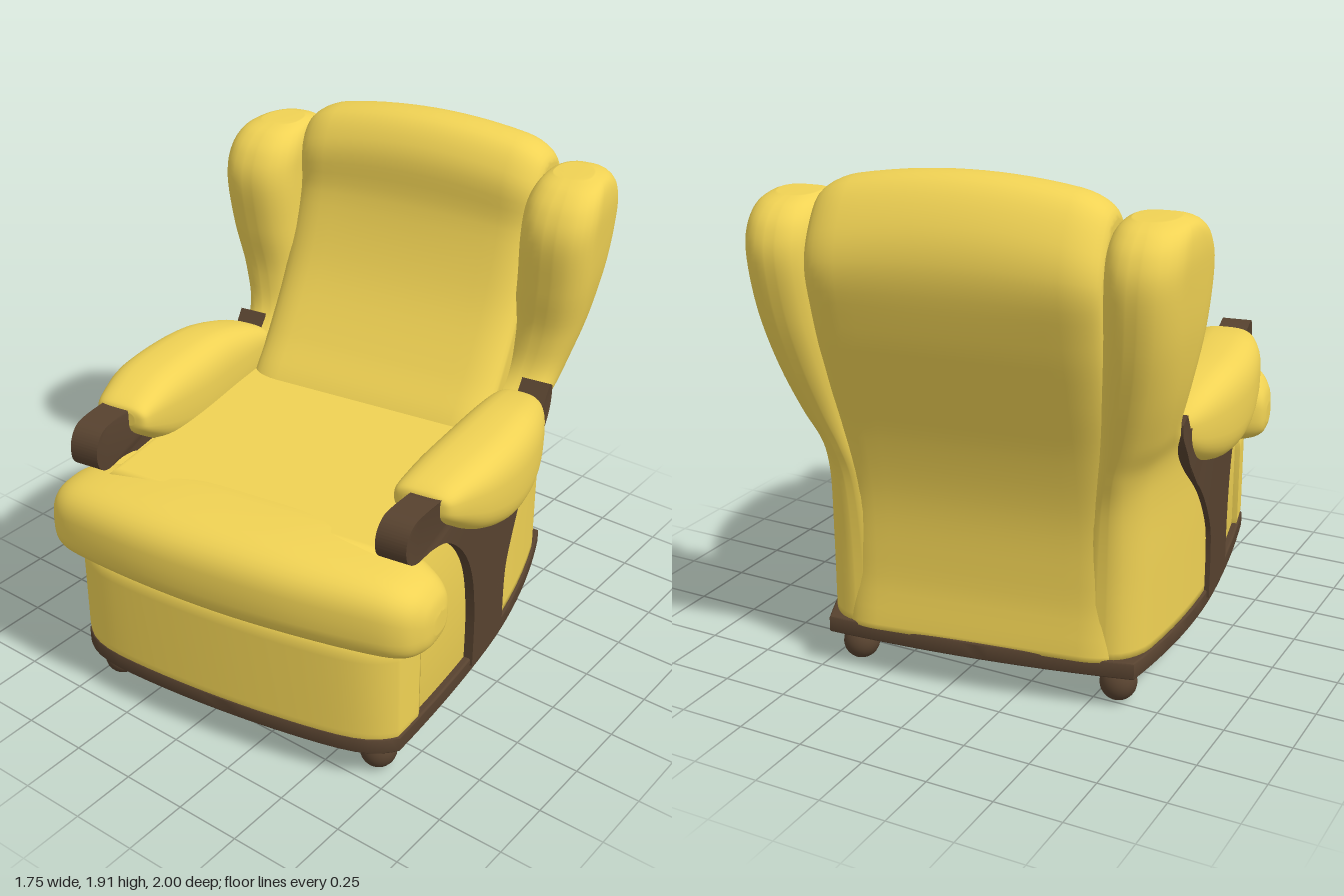
import * as THREE from 'three';
import { mergeVertices, toCreasedNormals } from 'three/addons/utils/BufferGeometryUtils.js';

const leather = new THREE.MeshStandardMaterial({ color: 0xf0d254 });
const wood = new THREE.MeshStandardMaterial({ color: 0x57422f });
const V = (p) => new THREE.Vector2(p[0], p[1]);
const { lerp, smoothstep } = THREE.MathUtils;

// half width of the chair's bowed plan at depth z
const halfWidth = (z) => 0.692 - (z < 0.15 ? 0.18 : 0.075) * (z - 0.15) ** 2;

// closed smooth shape through points
function splineShape(points, n) {
  const curve = new THREE.CatmullRomCurve3(points.map((p) => new THREE.Vector3(p[0], p[1], 0)), true);
  return new THREE.Shape(curve.getPoints(n).slice(0, -1).map((p) => new THREE.Vector2(p.x, p.y)));
}

// plan outline with bowed sides, front and back and rounded front corners
function planShape(inset, zBack, zFront, bowBack, bowFront) {
  const pts = [], n = 24, corner = 0.07, zSide = zFront - corner;
  for (let i = 0; i <= n; i++) {
    const z = lerp(zBack, zSide, i / n);
    pts.push(new THREE.Vector2(halfWidth(z) - inset, z));
  }
  for (let i = 1; i < n; i++) {
    const u = Math.cos((i / n) * Math.PI);
    pts.push(new THREE.Vector2(u * (halfWidth(zSide) - inset), zFront + bowFront * (1 - u * u) - corner * u ** 10));
  }
  for (let i = 0; i <= n; i++) {
    const z = lerp(zSide, zBack, i / n);
    pts.push(new THREE.Vector2(inset - halfWidth(z), z));
  }
  for (let i = 1; i < n; i++) {
    const u = (2 * i) / n - 1;
    pts.push(new THREE.Vector2(u * (halfWidth(zBack) - inset), zBack - bowBack * (1 - u * u)));
  }
  return new THREE.Shape(pts);
}

// extrusion with rounded rims whose total depth is `depth`, starting at 0
function puff(shape, depth, size, thick, steps = 1) {
  const geo = new THREE.ExtrudeGeometry(shape, {
    depth: depth - 2 * thick, steps, curveSegments: 16, bevelEnabled: size > 0,
    bevelSize: size, bevelThickness: thick, bevelOffset: -size, bevelSegments: 7,
  });
  return geo.translate(0, 0, thick);
}

// plan extrusion laid flat between two heights
function slab(shape, y0, y1, size, thick) {
  return puff(shape, y1 - y0, size, thick).rotateX(Math.PI / 2).translate(0, y1, 0);
}

function reshape(geo, rule) {
  const p = geo.attributes.position, v = new THREE.Vector3();
  for (let i = 0; i < p.count; i++) {
    rule(v.fromBufferAttribute(p, i));
    p.setXYZ(i, v.x, v.y, v.z);
  }
  return geo;
}

function smooth(geo) {
  geo.deleteAttribute('uv');
  geo.deleteAttribute('normal');
  const g = mergeVertices(geo, 1e-4);
  g.computeVertexNormals();
  return g;
}

function creased(geo) {
  geo.computeVertexNormals();
  return toCreasedNormals(geo, 0.6);
}

// mirrored copy across x = 0, with the corner order flipped
function mirror(geo) {
  const g = geo.index ? geo.toNonIndexed() : geo.clone();
  for (const key of Object.keys(g.attributes)) {
    const a = g.attributes[key], s = a.itemSize;
    for (let i = 0; i < a.count; i += 3) {
      for (let k = 0; k < s; k++) {
        const b = a.array[(i + 1) * s + k];
        a.array[(i + 1) * s + k] = a.array[(i + 2) * s + k];
        a.array[(i + 2) * s + k] = b;
      }
    }
    if (key !== 'uv') for (let i = 0; i < a.count; i++) a.setX(i, -a.getX(i));
  }
  return g;
}

// smooth closed skin over sections; key rows are interpolated along a spline
function loft(keys, rows, section) {
  const curves = keys[0].map((_, c) => new THREE.SplineCurve(keys.map((k, i) => new THREE.Vector2(i, k[c]))));
  const pos = [], idx = [];
  for (let i = 0; i <= rows; i++) {
    const ring = section(curves.map((c) => c.getPoint(i / rows).y)), cols = ring.length;
    ring.forEach((p, j) => {
      pos.push(...p);
      const a = i * cols + j, b = i * cols + ((j + 1) % cols);
      if (i < rows) idx.push(a, b, b + cols, a, b + cols, a + cols);
      if (j > 0 && j < cols - 1 && i === 0) idx.push(0, j + 1, j);
      if (j > 0 && j < cols - 1 && i === rows) idx.push(i * cols, a, a + 1);
    });
  }
  const g = new THREE.BufferGeometry();
  g.setAttribute('position', new THREE.Float32BufferAttribute(pos, 3));
  g.setIndex(idx);
  g.computeVertexNormals();
  return g;
}

// rounded upright section of a wing: height, back, front, inner x, flare
function wingSection([y, zb, zf, xi, flare]) {
  const rz = Math.min(0.13, (zf - zb) * 0.45), rt = 0.4, ring = [];
  const put = (z, t) => ring.push([lerp(xi, lerp(halfWidth(z) - 0.005, 0.77 + 0.1 * (z + 0.6), flare), t), y, z]);
  const corners = [[zf - rz, 1 - rt], [zb + rz, 1 - rt], [zb + rz, rt], [zf - rz, rt]];
  corners.forEach(([z, t], c) => {
    for (let i = 0; i <= 6; i++) {
      const a = (c + i / 6) * Math.PI / 2;
      put(z + rz * Math.cos(a), t + rt * Math.sin(a));
    }
    const [z2, t2] = corners[(c + 1) % 4], e = (c + 1) * Math.PI / 2;
    for (let i = 1; i < 6; i++) put(lerp(z, z2, i / 6) + rz * Math.cos(e), lerp(t, t2, i / 6) + rt * Math.sin(e));
  });
  return ring;
}

// soft superelliptic ring in two ranges
function softRing(a0, a1, b0, b1, place) {
  const pow = (c) => 0.5 + (Math.sign(c) * Math.abs(c) ** 0.7) / 2;
  return Array.from({ length: 40 }, (_, j) => {
    const t = (j / 40) * Math.PI * 2;
    return place(lerp(a0, a1, pow(Math.cos(t))), lerp(b0, b1, pow(Math.sin(t))));
  });
}

export function createModel() {
  const chair = new THREE.Group();
  chair.name = 'armchair';
  const add = (name, geo, mat) => {
    const m = new THREE.Mesh(geo, mat);
    m.name = name;
    chair.add(m);
    return m;
  };
  // a part on the left side (+x) and its twin on the right
  const pair = (name, geo, mat) => {
    add(name + 'Left', geo, mat);
    add(name + 'Right', mirror(geo), mat);
  };

  // wooden base frame with an open middle
  const plate = planShape(-0.005, -0.65, 0.86, 0.03, 0.05);
  plate.holes.push(splineShape([[0.49, -0.48], [0.62, 0.1], [0.55, 0.66], [0, 0.81], [-0.55, 0.66], [-0.62, 0.1], [-0.49, -0.48], [0, -0.6]], 48));
  add('baseFrame', creased(slab(plate, 0.135, 0.2, 0.008, 0.008)), wood);

  // ball feet
  for (const s of [-1, 1]) {
    for (const [x, z] of [[0.557, 0.74], [0.5, -0.55]]) {
      add('foot', new THREE.SphereGeometry(0.068, 24, 16), wood).position.set(s * x, 0.068, z);
    }
  }

  // body and front panel
  add('body', creased(slab(planShape(0.022, -0.56, 0.78, 0.02, 0.04), 0.16, 0.87, 0.015, 0.015)), leather);
  add('frontPanel', smooth(slab(planShape(0, 0.655, 0.86, -0.02, 0.05), 0.165, 0.59, 0.025, 0.06)), leather);

  // flat seat running into a wide roll at the front
  const seat = new THREE.Shape([[-0.57, -0.25], [0.57, -0.25], [0.57, 0.74], [-0.57, 0.74]].map(V));
  add('seat', smooth(slab(seat, 0.6, 0.9, 0.04, 0.05)), leather);
  const rollHalf = [
    [-0.772, 0.67, 0.76, 0.65, 0.73], [-0.755, 0.63, 0.82, 0.605, 0.79], [-0.7, 0.595, 0.885, 0.575, 0.845],
    [-0.58, 0.55, 0.925, 0.565, 0.88], [-0.3, 0.5, 0.965, 0.56, 0.903],
  ];
  const rollKeys = [...rollHalf, [0, 0.5, 0.975, 0.555, 0.908], ...rollHalf.slice().reverse().map(([x, ...r]) => [-x, ...r])];
  add('seatRoll', loft(rollKeys, 60, ([x, zb, zf, yb, yt]) => softRing(yb, yt, zb, zf, (y, z) => [x, y, z])), leather);

  // back cushion with an arched, rolled top
  const backShape = splineShape([
    [-0.11, 0.8], [-0.15, 0.9], [-0.27, 1.05], [-0.43, 1.3], [-0.53, 1.58], [-0.55, 1.79], [-0.635, 1.9],
    [-0.78, 1.9], [-0.885, 1.77], [-0.92, 1.62], [-0.875, 1.4], [-0.8, 1.18], [-0.72, 0.95], [-0.665, 0.7],
    [-0.655, 0.4], [-0.66, 0.12], [-0.5, 0.1], [-0.3, 0.4],
  ], 90);
  const back = reshape(puff(backShape, 1.02, 0.06, 0.13, 14).rotateY(-Math.PI / 2).translate(0.51, 0, 0), (v) => {
    v.y -= 0.06 * (v.x / 0.5) ** 2 * smoothstep(v.y, 1.4, 1.85);
    v.y = Math.max(v.y, 0.19);
  });
  add('backCushion', smooth(back), leather);

  // wings running down into the side panels
  const wing = loft([
    [0.19, -0.648, 0.17, 0.34, 0], [0.5, -0.65, 0.14, 0.35, 0], [0.75, -0.67, 0.03, 0.38, 0], [0.9, -0.71, -0.2, 0.42, 0.1],
    [1.03, -0.755, -0.385, 0.44, 0.42], [1.2, -0.815, -0.43, 0.46, 0.72], [1.4, -0.875, -0.405, 0.48, 0.92],
    [1.6, -0.91, -0.385, 0.49, 1], [1.71, -0.885, -0.42, 0.495, 1], [1.775, -0.82, -0.49, 0.515, 0.9], [1.8, -0.74, -0.57, 0.55, 0.65],
  ], 60, wingSection);
  pair('wing', wing, leather);

  // wooden arm support: post, front knob and rear horn
  const arm = new THREE.Shape();
  arm.moveTo(0.275, 0.17);
  arm.splineThru([[0.275, 0.4], [0.31, 0.6], [0.39, 0.75], [0.51, 0.86], [0.62, 0.895], [0.73, 0.9], [0.785, 0.94], [0.79, 1.01], [0.75, 1.06], [0.68, 1.07], [0.53, 1.06]].map(V));
  for (const p of [[0.35, 1.04], [0.2, 1.02], [0.05, 1.0], [-0.1, 0.99], [-0.22, 0.98], [-0.33, 0.97], [-0.39, 1.045], [-0.43, 1.02]]) arm.lineTo(...p);
  arm.splineThru([[-0.425, 0.97], [-0.38, 0.9], [-0.29, 0.8], [-0.14, 0.66], [-0.03, 0.5], [0, 0.38], [0, 0.17]].map(V));
  const support = reshape(puff(arm, 1, 0, 0).rotateY(-Math.PI / 2), (v) => {
    v.x = -(halfWidth(v.z) + 0.014 + 0.035 * smoothstep(-v.z, 0.22, 0.42) - 0.115 * (1 + v.x));
  });
  pair('armSupport', mirror(creased(support)), wood);

  // armrest pads
  const pad = loft([
    [-0.335, 0.54, 0.64, 0.94, 0.99], [-0.315, 0.505, 0.685, 0.885, 1.025], [-0.22, 0.5, 0.74, 0.815, 1.07],
    [-0.05, 0.5, 0.792, 0.758, 1.11], [0.15, 0.495, 0.812, 0.757, 1.122], [0.35, 0.495, 0.797, 0.825, 1.122],
    [0.5, 0.5, 0.75, 0.92, 1.1], [0.56, 0.51, 0.72, 0.97, 1.08], [0.575, 0.55, 0.68, 1.0, 1.06],
  ], 48, ([z, xi, xo, yb, yt]) => softRing(xi, xo, yb, yt, (x, y) => [x, y, z]));
  pair('armPad', pad, leather);

  // the chair stands turned slightly to one side
  chair.rotation.y = 0.155;
  chair.position.x = -0.004;
  const model = new THREE.Group();
  model.add(chair);
  return model;
}
